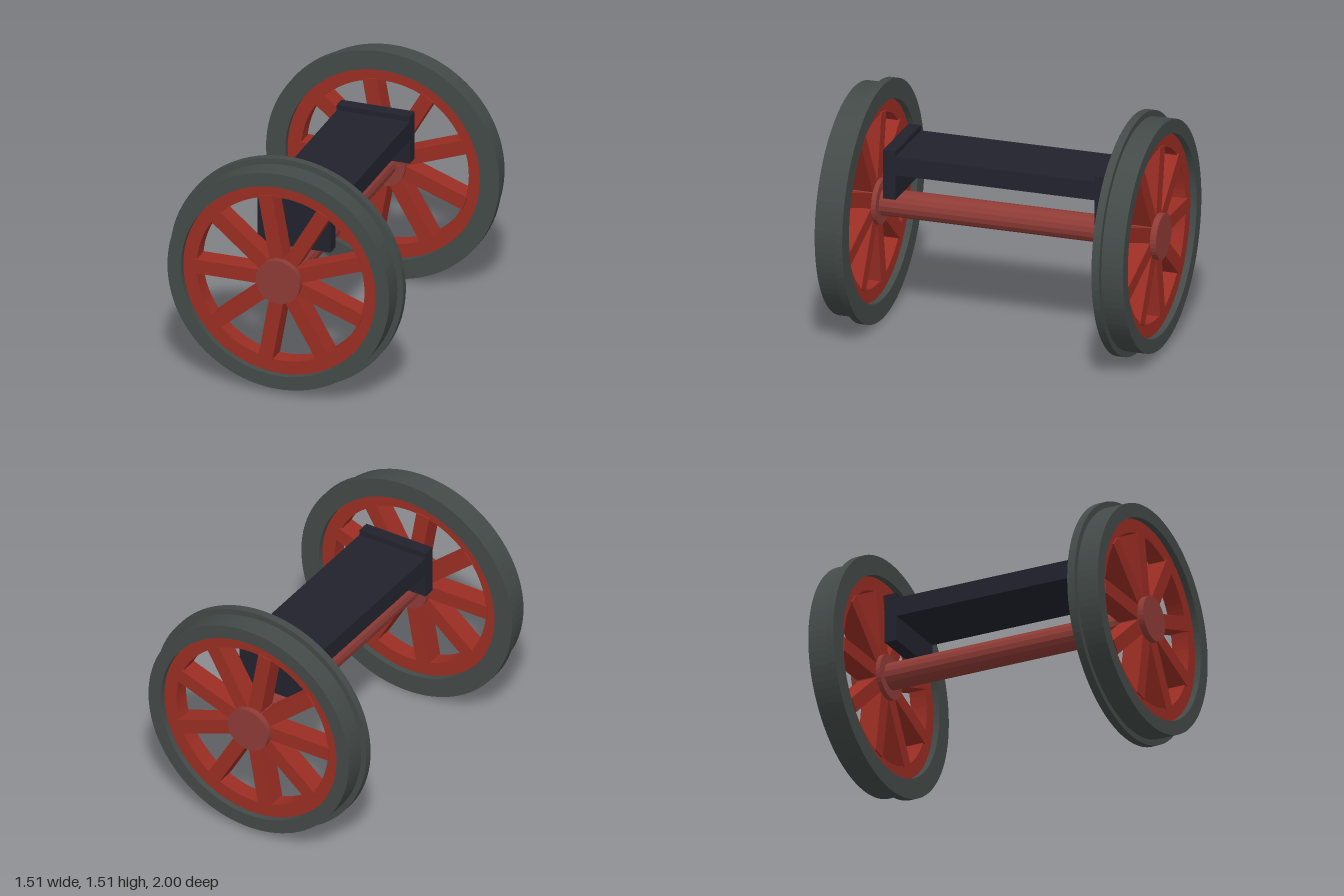
import * as THREE from 'three';

const material = (name, color) => {
  const m = new THREE.MeshStandardMaterial({ color });
  m.name = name;
  return m;
};

function addMesh(parent, name, geometry, mat, x = 0, y = 0, z = 0) {
  const mesh = new THREE.Mesh(geometry, mat);
  mesh.name = name;
  mesh.position.set(x, y, z);
  parent.add(mesh);
  return mesh;
}

// Faceted ring around z, from z = 0 to z = depth
function ring(outer, inner, depth) {
  const shape = new THREE.Shape().absarc(0, 0, outer, 0, Math.PI * 2, false);
  shape.holes.push(new THREE.Path().absarc(0, 0, inner, 0, Math.PI * 2, true));
  return new THREE.ExtrudeGeometry(shape, { depth, bevelEnabled: false, curveSegments: 48 });
}

// Faceted solid cylinder along z, centred
function rod(radius, length, sides) {
  const g = new THREE.CylinderGeometry(radius, radius, length, sides).rotateX(Math.PI / 2).toNonIndexed();
  g.computeVertexNormals();
  return g;
}

export function createModel() {
  const tyreGrey = material('tyre grey', 0x434a48);
  const wheelRed = material('wheel red', 0x9a2d23);
  const axleRed = material('axle red', 0x8e3b36);
  const frameNavy = material('frame navy', 0x22222e);

  const model = new THREE.Group();
  model.name = 'wheelset';
  const axleY = 0.755;

  // Wheels, mirrored front to back
  const flangeGeo = ring(0.755, 0.63, 0.05);
  const treadGeo = ring(0.718, 0.63, 0.14);
  const rimGeo = ring(0.632, 0.543, 0.11);
  const hubGeo = rod(0.143, 0.2, 32);
  const spokeGeo = new THREE.BoxGeometry(0.45, 0.092, 0.13);
  const spokeCount = 9;

  for (const side of [1, -1]) {
    const wheel = new THREE.Group();
    wheel.name = side > 0 ? 'frontWheel' : 'backWheel';
    wheel.position.y = axleY;
    model.add(wheel);
    // Lower z edge of a slab that spans from a to b on this side
    const low = (a, b) => (side > 0 ? a : -b);
    addMesh(wheel, 'flange', flangeGeo, tyreGrey, 0, 0, low(0.8, 0.85));
    addMesh(wheel, 'tread', treadGeo, tyreGrey, 0, 0, low(0.85, 0.99));
    addMesh(wheel, 'rim', rimGeo, wheelRed, 0, 0, low(0.84, 0.95));
    addMesh(wheel, 'hub', hubGeo, axleRed, 0, 0, side * 0.9);
    for (let i = 0; i < spokeCount; i++) {
      const a = Math.PI + (i / spokeCount) * Math.PI * 2;
      const spoke = addMesh(wheel, 'spoke', spokeGeo, wheelRed,
        Math.cos(a) * 0.328, Math.sin(a) * 0.328, side * 0.895);
      spoke.rotation.z = a;
    }
  }

  // Axle between the hubs
  addMesh(model, 'axle', rod(0.085, 1.7, 16), axleRed, 0, axleY, 0);

  // Frame bridge with an upright plate at each end
  addMesh(model, 'framePlate', new THREE.BoxGeometry(0.474, 0.12, 1.28), frameNavy, 0, 1.09, 0);
  for (const side of [1, -1]) {
    addMesh(model, 'frameEndPlate', new THREE.BoxGeometry(0.474, 0.315, 0.08), frameNavy, 0, 1.028, side * 0.68);
  }
  return model;
}
